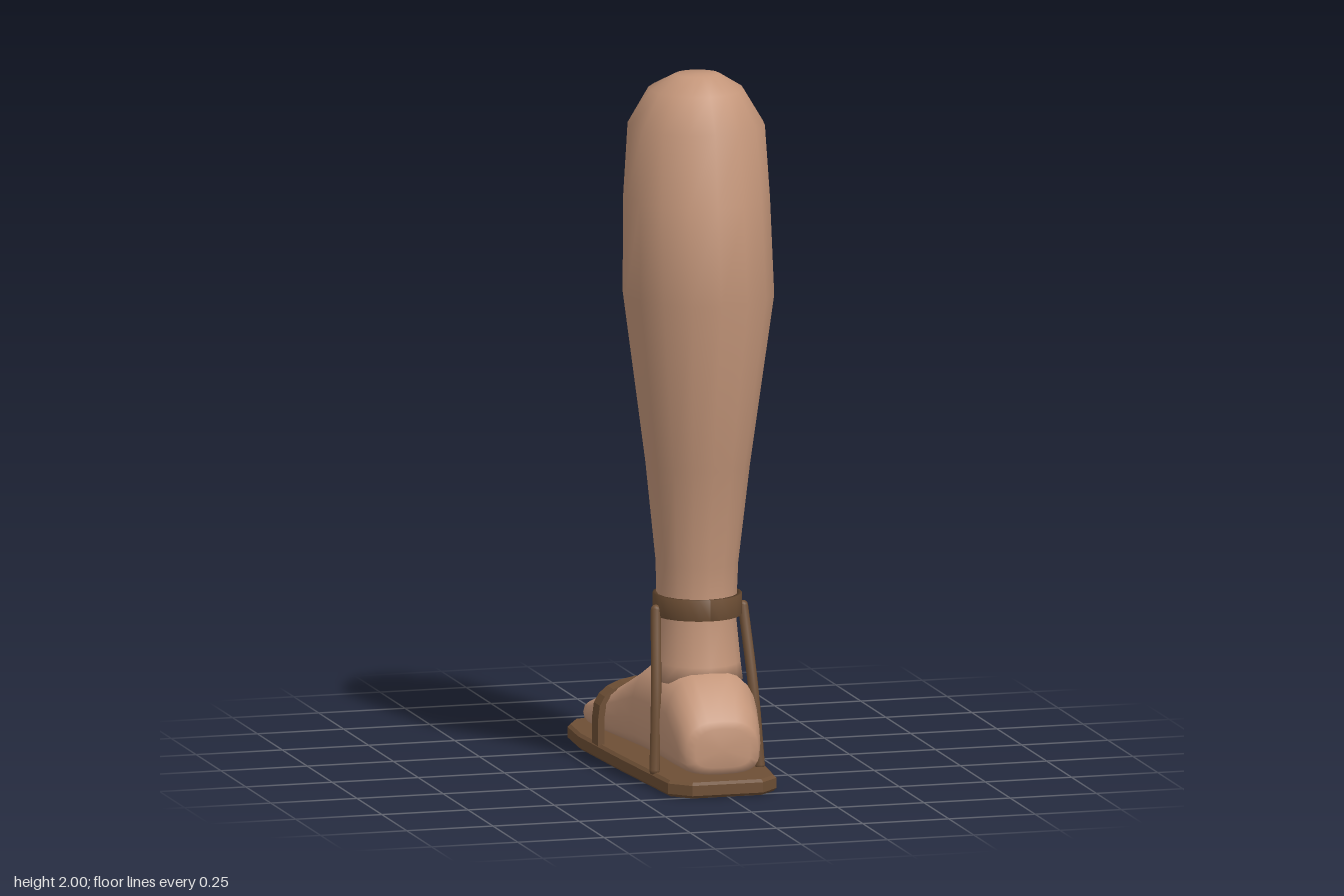
import * as THREE from 'three';

const skin = new THREE.MeshStandardMaterial({ color: 0xc4967a });
const leather = new THREE.MeshStandardMaterial({ color: 0x6e4f35, side: THREE.DoubleSide });
const SIDES = 16;

// Skins a stack of equal-length rings and closes both ends.
function loft(rings) {
  const n = rings[0].length, pos = [], index = [];
  rings.forEach(r => r.forEach(p => pos.push(p.x, p.y, p.z)));
  for (let i = 0; i < rings.length - 1; i++) {
    for (let j = 0; j < n; j++) {
      const a = i * n + j, b = i * n + (j + 1) % n;
      index.push(a, a + n, b, b, a + n, b + n);
    }
  }
  [0, rings.length - 1].forEach((r, end) => {
    const c = new THREE.Vector3();
    rings[r].forEach(p => c.addScaledVector(p, 1 / n));
    const ci = pos.length / 3;
    pos.push(c.x, c.y, c.z);
    for (let j = 0; j < n; j++) {
      const a = r * n + j, b = r * n + (j + 1) % n;
      index.push(ci, end ? b : a, end ? a : b);
    }
  });
  const g = new THREE.BufferGeometry();
  g.setAttribute('position', new THREE.Float32BufferAttribute(pos, 3));
  g.setIndex(index);
  g.computeVertexNormals();
  return g;
}

const spow = (v, p) => Math.sign(v) * Math.abs(v) ** p;

// Horizontal ellipse given by its bounds
function legRing([y, x0, x1, z0, z1]) {
  return Array.from({ length: SIDES }, (_, i) => {
    const a = i / SIDES * Math.PI * 2;
    return new THREE.Vector3((x0 + x1) / 2 + (x1 - x0) / 2 * Math.cos(a), y,
      (z0 + z1) / 2 + (z1 - z0) / 2 * Math.sin(a));
  });
}

// Upright foot section: rounded top, boxier flat underside
function footRing([z, x0, x1, y0, y1], grow = 0) {
  const ym = y0 + (y1 - y0) * 0.4, n = 24;
  return Array.from({ length: n }, (_, i) => {
    const a = i / n * Math.PI * 2, s = Math.sin(a);
    const x = (x0 + x1) / 2 + ((x1 - x0) / 2 + grow) * spow(Math.cos(a), 0.7);
    const y = s >= 0 ? ym + (y1 - ym + grow) * spow(s, 0.8) : ym + (ym - y0) * spow(s, 0.55);
    return new THREE.Vector3(x, y, z);
  });
}

export function createModel() {
  const model = new THREE.Group();
  const add = (name, geometry, material) => {
    const m = new THREE.Mesh(geometry, material);
    m.name = name;
    model.add(m);
    return m;
  };

  // Lower leg: y, x range, z range
  add('lowerLeg', loft([
    [0.29, -0.135, 0.115, 0.10, 0.385],
    [0.34, -0.13, 0.11, 0.10, 0.375],
    [0.47, -0.12, 0.10, 0.11, 0.35],
    [0.62, -0.125, 0.105, 0.11, 0.36],
    [0.90, -0.155, 0.135, 0.08, 0.405],
    [1.39, -0.23, 0.19, 0.05, 0.52],
    [1.66, -0.222, 0.187, 0.042, 0.475],
    [1.86, -0.205, 0.18, 0.045, 0.43],
    [1.96, -0.145, 0.12, 0.09, 0.38],
    [2.0, -0.07, 0.055, 0.17, 0.29],
  ].map(legRing)), skin);

  // Foot, heel to ball: z, x range, y range
  add('foot', loft([
    [0.50, -0.09, 0.07, 0.08, 0.19],
    [0.49, -0.115, 0.095, 0.06, 0.21],
    [0.457, -0.13, 0.11, 0.055, 0.258],
    [0.38, -0.145, 0.125, 0.055, 0.325],
    [0.24, -0.15, 0.13, 0.055, 0.33],
    [0.10, -0.162, 0.15, 0.055, 0.322],
    [0.0, -0.172, 0.175, 0.055, 0.275],
    [-0.15, -0.182, 0.195, 0.055, 0.208],
    [-0.28, -0.182, 0.197, 0.055, 0.165],
    [-0.37, -0.165, 0.19, 0.055, 0.137],
    [-0.40, -0.135, 0.175, 0.058, 0.128],
    [-0.415, -0.09, 0.145, 0.07, 0.118],
  ].map(s => footRing(s))), skin);

  // Toes: x, y, z, half width, half height, half length
  [[0.113, 0.095, -0.442, 0.046, 0.04, 0.056],
    [0.025, 0.088, -0.425, 0.03, 0.032, 0.04],
    [-0.04, 0.085, -0.408, 0.027, 0.03, 0.036],
    [-0.092, 0.082, -0.385, 0.025, 0.027, 0.033],
    [-0.138, 0.08, -0.36, 0.023, 0.025, 0.03],
  ].forEach(([x, y, z, rx, ry, rz], i) => {
    const toe = add(i ? 'smallToe' + i : 'bigToe', new THREE.SphereGeometry(1, 12, 8), skin);
    toe.position.set(x, y, z);
    toe.scale.set(rx, ry, rz);
  });

  // Sole: outline in x and z, extruded upwards with a small bevel
  const outline = [[-0.075, -0.525], [0.095, -0.525], [0.18, -0.497], [0.213, -0.425],
    [0.224, -0.285], [0.205, -0.05], [0.155, 0.465], [0.1, 0.52], [-0.105, 0.52],
    [-0.16, 0.465], [-0.19, 0.03], [-0.206, -0.28], [-0.195, -0.425], [-0.155, -0.497]];
  const soleGeo = new THREE.ExtrudeGeometry(
    new THREE.Shape(outline.map(([x, z]) => new THREE.Vector2(x, -z))),
    { depth: 0.029, bevelThickness: 0.008, bevelSize: 0.008, bevelOffset: -0.008, bevelSegments: 1 });
  soleGeo.rotateX(-Math.PI / 2).translate(0, 0.008, 0);
  add('sole', soleGeo, leather);

  // Strap arching over the foot
  const section = [-0.165, -0.184, 0.194, 0.055, 0.212];
  const arch = grow => {
    const top = footRing(section, grow).slice(0, 13).map(p => new THREE.Vector2(p.x, p.y));
    return [new THREE.Vector2(top[0].x, 0.04), ...top, new THREE.Vector2(top[12].x, 0.04)];
  };
  const strapGeo = new THREE.ExtrudeGeometry(
    new THREE.Shape([...arch(0.014), ...arch(-0.004).reverse()]), { depth: 0.06, bevelEnabled: false });
  add('footStrap', strapGeo.translate(0, 0, -0.165), leather);

  // Ankle band: flat profile turned around the leg
  const band = [[0.9, -0.03], [1, -0.03], [1, 0.03], [0.9, 0.03], [0.9, -0.03]];
  const bandGeo = new THREE.LatheGeometry(band.map(([r, y]) => new THREE.Vector2(r, y)), 24);
  const ankle = add('ankleBand', bandGeo.scale(0.124, 1, 0.132), leather);
  ankle.geometry.computeVertexNormals();
  ankle.position.set(-0.008, 0.5, 0.232);

  // Round cords with domed ends
  const cord = (name, pts) => {
    const v = pts.map(p => new THREE.Vector3(...p));
    add(name, new THREE.TubeGeometry(new THREE.CatmullRomCurve3(v), 16, 0.015, 8), leather);
    [v[0], v[v.length - 1]].forEach(p =>
      add(name + 'End', new THREE.SphereGeometry(0.015, 8, 6), leather).position.copy(p));
  };
  cord('instepCord', [[-0.007, 0.49, 0.095], [-0.007, 0.39, 0.07], [-0.007, 0.315, -0.01], [-0.007, 0.25, -0.12]]);
  cord('rightSideCord', [[-0.135, 0.49, 0.255], [-0.15, 0.255, 0.31], [-0.16, 0.05, 0.33]]);
  cord('leftSideCord', [[0.118, 0.49, 0.255], [0.133, 0.255, 0.31], [0.145, 0.05, 0.33]]);

  return model;
}
